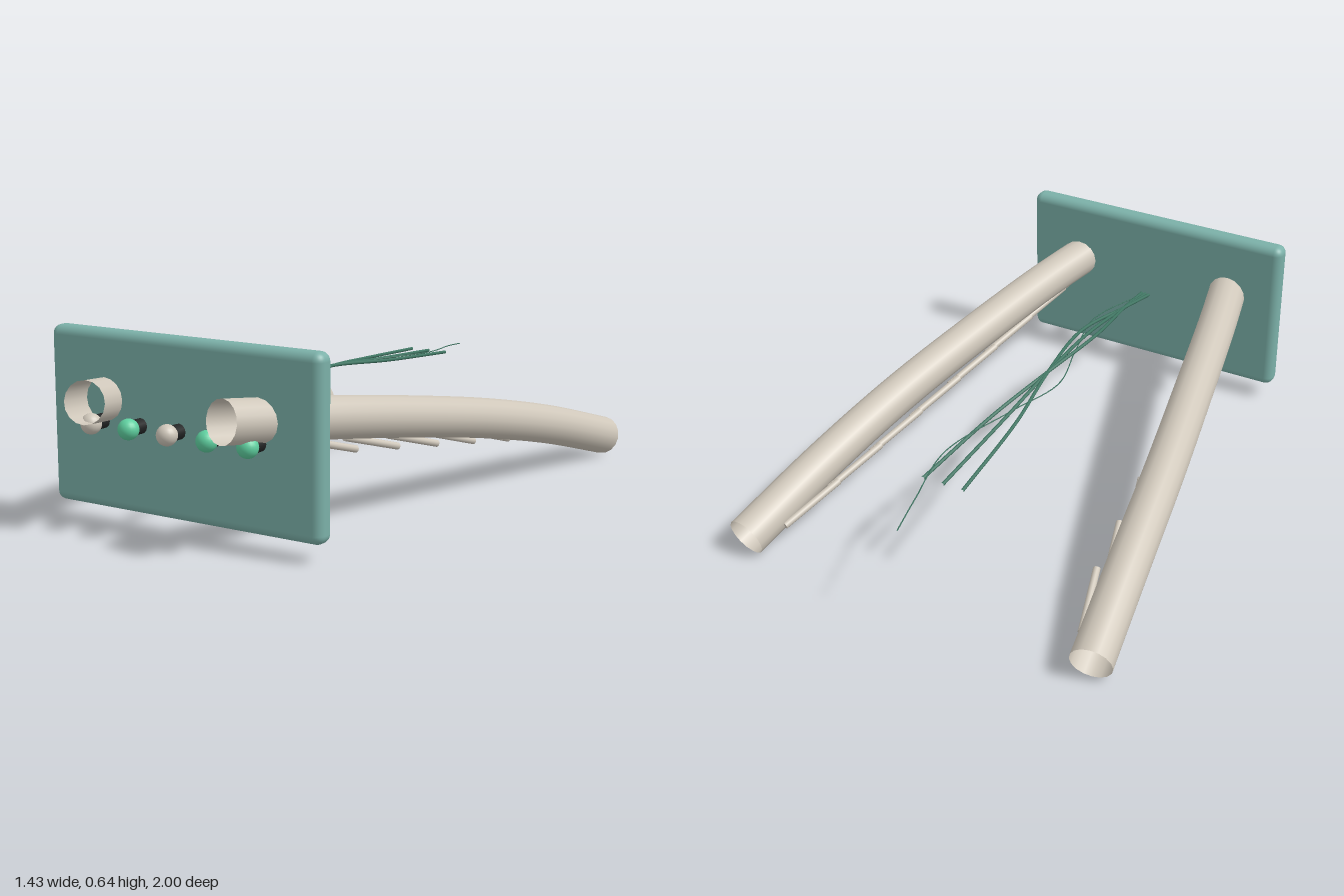
import * as THREE from 'three';
import { RoundedBoxGeometry } from 'three/addons/geometries/RoundedBoxGeometry.js';

const mat = (color, side = THREE.FrontSide) =>
  new THREE.MeshStandardMaterial({ color, side });

const curve = (pts) => new THREE.CatmullRomCurve3(pts.map((p) => new THREE.Vector3(...p)));

function add(parent, name, geometry, material) {
  const mesh = new THREE.Mesh(geometry, material);
  mesh.name = name;
  parent.add(mesh);
  return mesh;
}

// Cylinder running between two points
function rod(parent, name, a, b, radius, material) {
  const from = new THREE.Vector3(...a);
  const to = new THREE.Vector3(...b);
  const dir = to.clone().sub(from);
  const mesh = add(parent, name, new THREE.CylinderGeometry(radius, radius, dir.length(), 12), material);
  mesh.position.copy(from).add(to).multiplyScalar(0.5);
  mesh.quaternion.setFromUnitVectors(new THREE.Vector3(0, 1, 0), dir.normalize());
  return mesh;
}

export function createModel() {
  const model = new THREE.Group();
  const bone = mat(0xcfc7ba);
  const shell = mat(0xcfc7ba, THREE.DoubleSide);
  const teal = mat(0x7bb0a8);
  const green = mat(0x5fd0a0);
  const black = mat(0x222424);
  const cable = mat(0x3f7562);

  // Upright front plate
  add(model, 'frontPlate', new RoundedBoxGeometry(1.03, 0.58, 0.075, 4, 0.03), teal)
    .position.set(0, 0.355, 0.807);

  // Hollow curved arms, each with a row of slanted pins underneath
  for (const s of [1, -1]) {
    const arm = new THREE.Group();
    arm.name = s > 0 ? 'leftArm' : 'rightArm';
    model.add(arm);
    const path = curve([
      [s * 0.26, 0.44, 0.98], [s * 0.355, 0.395, 0.6], [s * 0.44, 0.335, 0.2],
      [s * 0.52, 0.265, -0.2], [s * 0.585, 0.18, -0.58], [s * 0.645, 0.075, -0.955],
    ]);
    add(arm, 'armTube', new THREE.TubeGeometry(path, 48, 0.07, 16), shell);
    for (let i = 0; i < 8; i++) {
      const z = 0.875 - 0.215 * i;
      const x = 0.294 + 0.0287 * i;
      const y = 0.362 - 0.03 * i;
      rod(arm, 'pin', [s * x, y, z], [s * (x + 0.065), y - 0.065, z - 0.225], 0.012, bone);
    }
  }

  // Row of round knobs on dark stems
  [bone, green, bone, green, green].forEach((material, i) => {
    const x = -0.3 + 0.15 * i;
    rod(model, 'knobStem', [x, 0.355, 0.83], [x, 0.355, 0.9], 0.025, black);
    add(model, 'knob', new THREE.SphereGeometry(0.034, 20, 14), material).position.set(x, 0.355, 0.905);
  });

  // Three crossing cables trailing behind the plate
  for (const s of [-1, 0, 1]) {
    const path = curve([
      [s * 0.015, 0.36, 0.72], [0, 0.388, 0.54], [s * -0.031, 0.425, 0.25],
      [0, 0.423, -0.05], [s * 0.045, 0.4, -0.35], [s * 0.073, 0.375, -0.74],
    ]);
    add(model, 'cable', new THREE.TubeGeometry(path, 40, 0.006, 8), cable);
  }

  // Hair-thin wavy filament
  const filament = curve([
    [0, 0.365, 0.72], [0.055, 0.395, 0.4], [0, 0.402, 0.15], [-0.055, 0.403, -0.08],
    [0, 0.403, -0.3], [0.075, 0.395, -0.6], [0.03, 0.38, -0.85], [0, 0.365, -1],
  ]);
  add(model, 'filament', new THREE.TubeGeometry(filament, 60, 0.002, 6), cable);

  return model;
}
